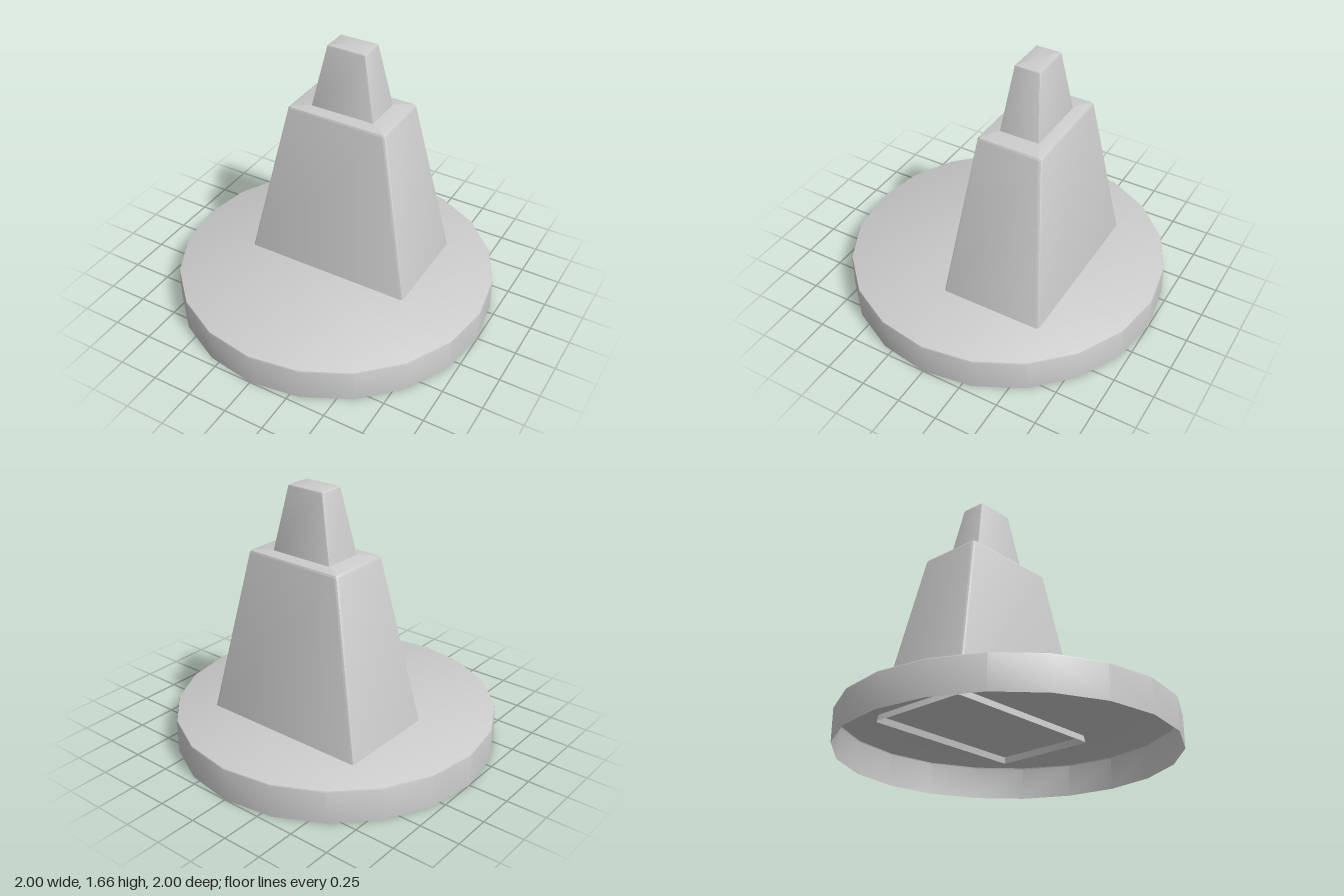
import * as THREE from 'three';
import { toCreasedNormals } from 'three/addons/utils/BufferGeometryUtils.js';

const material = new THREE.MeshStandardMaterial({ color: 0xcccccc, side: THREE.DoubleSide });

// Corner-rounded rectangle, counter-clockwise seen from above
function section(y, hx, hz, r) {
  const points = [];
  const signs = [[1, 1], [-1, 1], [-1, -1], [1, -1]];
  signs.forEach(([sx, sz], corner) => {
    for (let k = 0; k <= 2; k++) {
      const a = (corner + k / 2) * Math.PI / 2;
      points.push([sx * (hx - r) + r * Math.cos(a), y, -sz * (hz - r) - r * Math.sin(a)]);
    }
  });
  return points;
}

// Tapered block with softened edges, closed on top and open below
function taperedBlock(name, y0, y1, bottom, top, r) {
  const at = (y, inset) => {
    const t = (y - y0) / (y1 - y0);
    const hx = THREE.MathUtils.lerp(bottom[0], top[0], t) - inset;
    const hz = THREE.MathUtils.lerp(bottom[1], top[1], t) - inset;
    return section(y, hx, hz, r);
  };
  const rings = [at(y0, 0), at(y1 - r, 0), at(y1 - r * 0.3, r * 0.3), at(y1, r * 0.95)];
  const n = rings[0].length;
  const index = [];
  for (let i = 0; i < rings.length - 1; i++) {
    for (let j = 0; j < n; j++) {
      const a = i * n + j, b = i * n + (j + 1) % n;
      index.push(a, b, b + n, a, b + n, a + n);
    }
  }
  const last = (rings.length - 1) * n;
  for (let j = 0; j < n; j++) index.push(last + j, last + (j + 1) % n, last + n);
  const vertices = [...rings.flat(), [0, y1, 0]].flat();
  const geometry = new THREE.BufferGeometry();
  geometry.setAttribute('position', new THREE.Float32BufferAttribute(vertices, 3));
  geometry.setIndex(index);
  const mesh = new THREE.Mesh(toCreasedNormals(geometry, 0.5), material);
  mesh.name = name;
  mesh.position.z = -0.19;
  return mesh;
}

export function createModel() {
  const group = new THREE.Group();

  // Hollow twenty-sided base, open underneath, with a fine bevel at the rim
  const profile = [[1, 0], [1, 0.2], [0.997, 0.207], [0.99, 0.21], [0, 0.21]]
    .map(([x, y]) => new THREE.Vector2(x, y));
  const base = new THREE.Mesh(toCreasedNormals(new THREE.LatheGeometry(profile, 20), 0.5), material);
  base.name = 'base';
  group.add(base);

  // Tower reaches slightly through the base plate; the smaller block sits on it
  group.add(taperedBlock('tower', 0.17, 1.265, [0.556, 0.333], [0.325, 0.205], 0.018));
  group.add(taperedBlock('topBlock', 1.25, 1.665, [0.212, 0.128], [0.125, 0.08], 0.008));
  return group;
}
